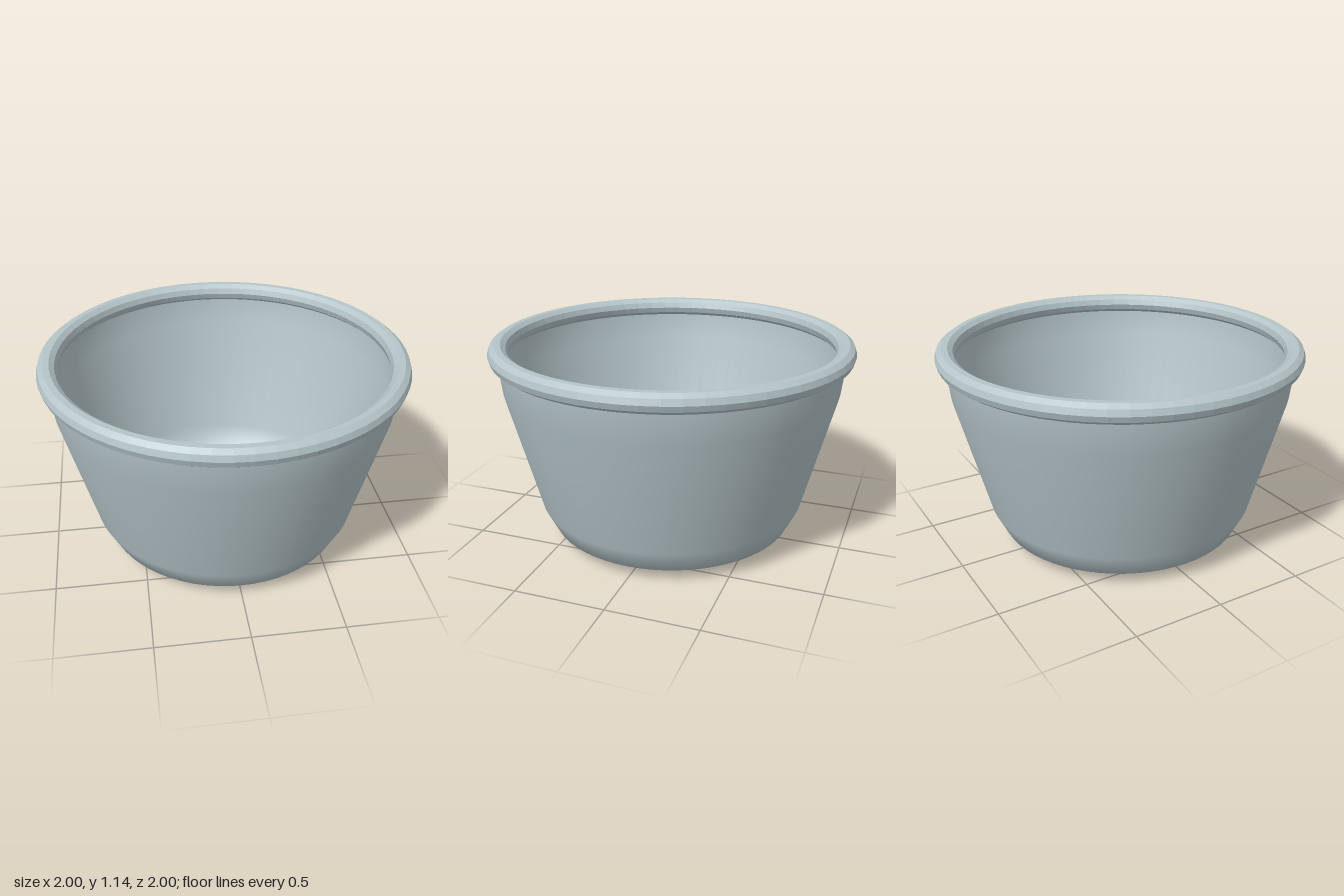
import * as THREE from 'three';

const SEGMENTS = 64;

export function createModel() {
  const group = new THREE.Group();
  group.name = 'openPot';

  const glaze = new THREE.MeshStandardMaterial({ color: 0xb4c4c8, side: THREE.DoubleSide });
  glaze.name = 'paleBlueGrey';

  // Thin smooth wall, open at the bottom
  const profile = [
    [0.55, 0], [0.69, 0.07], [0.755, 0.2], [0.93, 0.87], [0.95, 1.04], [0.95, 1.08],
  ].map(([r, y]) => new THREE.Vector2(r, y));
  const wall = new THREE.Mesh(new THREE.LatheGeometry(profile, SEGMENTS), glaze);
  wall.name = 'wall';
  group.add(wall);

  // Faceted ten-sided rolled rim; unshared corners give flat faces
  const ring = new THREE.TorusGeometry(0.946, 0.054, 10, SEGMENTS).toNonIndexed();
  ring.rotateX(-Math.PI / 2);
  ring.computeVertexNormals();
  const rim = new THREE.Mesh(ring, glaze);
  rim.name = 'rim';
  rim.position.y = 1.088;
  group.add(rim);

  return group;
}
